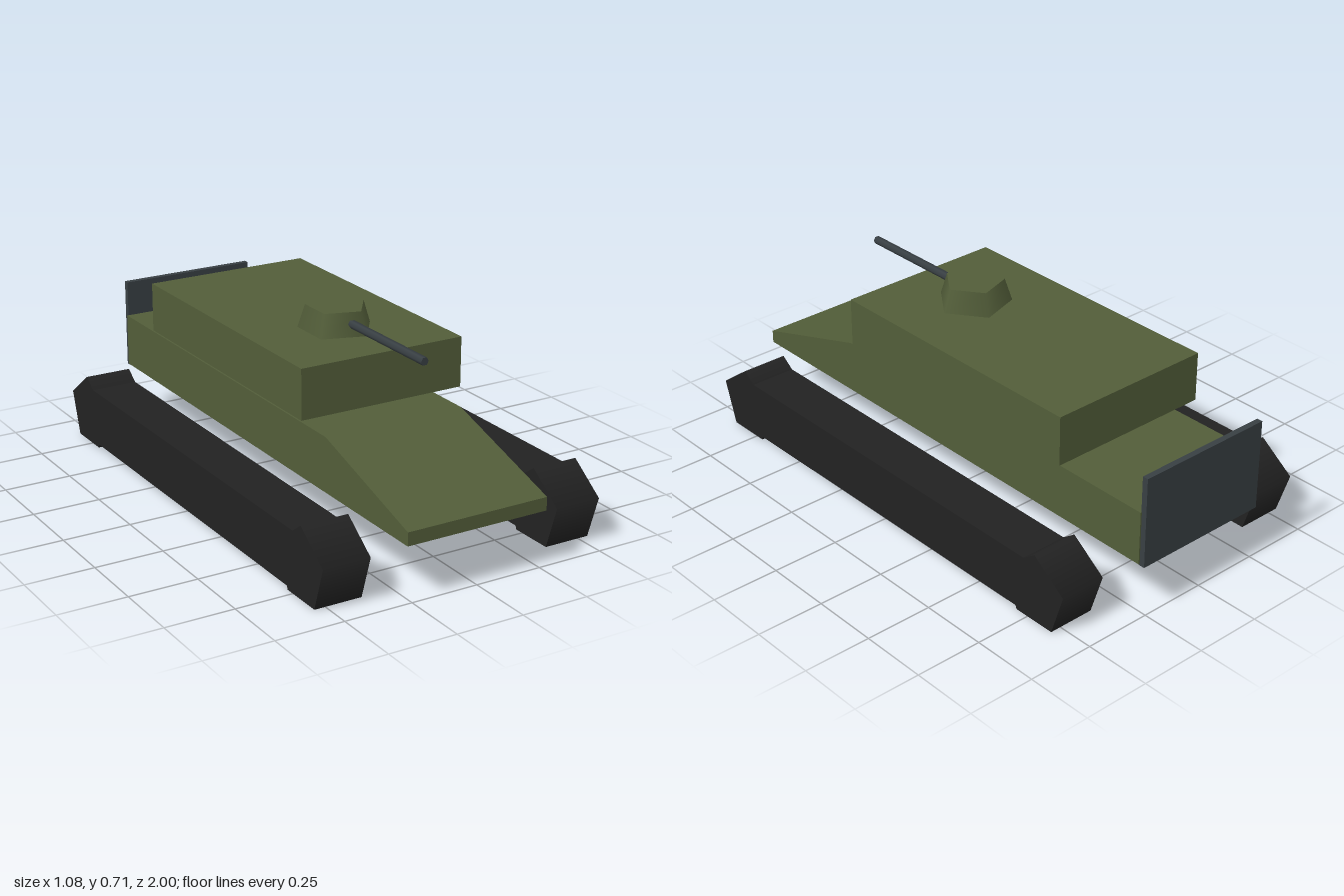
import * as THREE from 'three';

const olive = new THREE.MeshStandardMaterial({ name: 'olive green paint', color: 0x525d39 });
const steel = new THREE.MeshStandardMaterial({ name: 'dark steel', color: 0x383f43 });
const rubber = new THREE.MeshStandardMaterial({ name: 'black track', color: 0x222222 });

function part(parent, name, geometry, material, x = 0, y = 0, z = 0) {
  const mesh = new THREE.Mesh(geometry, material);
  mesh.name = name;
  mesh.position.set(x, y, z);
  parent.add(mesh);
  return mesh;
}

// Side profile in (z, y), extruded across x
function sideExtrude(points, width) {
  const shape = new THREE.Shape(points.map(([z, y]) => new THREE.Vector2(-z, y)));
  return new THREE.ExtrudeGeometry(shape, { depth: width, bevelEnabled: false })
    .translate(0, 0, -width / 2)
    .rotateY(Math.PI / 2);
}

// One track: a long belt box between two five-sided end rollers
function makeTrack(name, x) {
  const track = new THREE.Group();
  const width = 0.175;
  track.name = name;
  track.position.x = x;
  part(track, 'trackBelt', new THREE.BoxGeometry(width, 0.207, 1.58), rubber, 0, 0.1165, 0.01);
  // The first corner of each roller points straight up
  const roller = new THREE.CylinderGeometry(0.142, 0.142, width, 5)
    .rotateX(-Math.PI / 2)
    .rotateY(Math.PI / 2);
  part(track, 'frontRoller', roller, rubber, 0, 0.115, 0.8);
  part(track, 'rearRoller', roller, rubber, 0, 0.115, -0.78);
  return track;
}

export function createModel() {
  const tank = new THREE.Group();
  tank.name = 'tank';

  // Hull with a sloped nose
  const hullProfile = [[1, 0.2], [1, 0.248], [0.505, 0.398], [-0.98, 0.398], [-0.98, 0.2]];
  part(tank, 'hull', sideExtrude(hullProfile, 0.54), olive);

  // Rear plate
  part(tank, 'rearPlate', new THREE.BoxGeometry(0.53, 0.337, 0.022), steel, 0, 0.3625, -0.989);

  // Upper body raised above the hull
  part(tank, 'upperBody', new THREE.BoxGeometry(0.636, 0.182, 1.085), olive, 0, 0.531, -0.1125);

  // Five-sided turret with a corner towards the left
  const turret = new THREE.CylinderGeometry(0.11, 0.137, 0.085, 5).rotateY(Math.PI / 2);
  part(tank, 'turret', turret, olive, 0, 0.663, 0.132);

  // Six-sided gun barrel
  const barrel = new THREE.CylinderGeometry(0.015, 0.015, 0.5, 6)
    .rotateY(Math.PI / 6 * 3)
    .rotateX(Math.PI / 2);
  part(tank, 'gunBarrel', barrel, steel, 0, 0.665, 0.428);

  for (const side of [1, -1]) {
    tank.add(makeTrack(side > 0 ? 'leftTrack' : 'rightTrack', side * 0.4525));
  }
  return tank;
}
